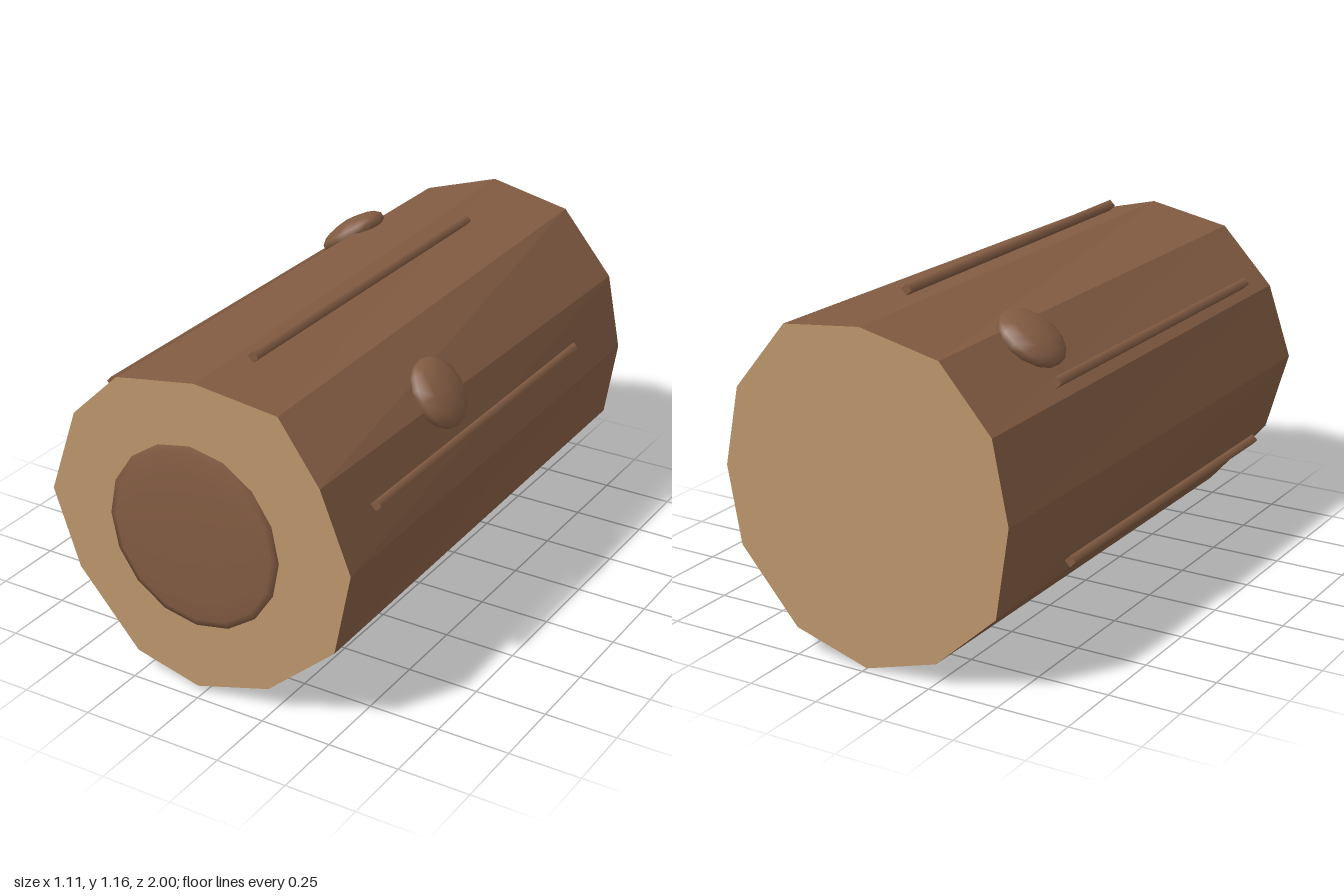
import * as THREE from 'three';

const bark = new THREE.MeshStandardMaterial({ color: 0x825b42 });
bark.name = 'bark brown';
const wood = new THREE.MeshStandardMaterial({ color: 0xba946a });
wood.name = 'cut wood tan';

// Uneven twelve-sided rims, counter-clockwise from +x
const frontRim = [
  [0.55, 0.6, 0.95], [0.465, 0.89, 0.985], [0.29, 1.065, 0.94], [0.02, 1.125, 0.985],
  [-0.28, 1.07, 0.975], [-0.485, 0.88, 0.94], [-0.555, 0.61, 0.98], [-0.48, 0.33, 0.96],
  [-0.26, 0.08, 0.96], [-0.02, 0.025, 0.965], [0.24, 0.09, 0.945], [0.5, 0.32, 0.965],
];
const backRim = [
  [0.52, 0.6, -0.985], [0.47, 0.87, -0.98], [0.29, 1.1, -0.965], [-0.02, 1.145, -1],
  [-0.28, 1.07, -0.965], [-0.48, 0.87, -0.99], [-0.54, 0.6, -0.995], [-0.485, 0.285, -0.98],
  [-0.265, 0.085, -0.98], [0, 0.005, -0.975], [0.25, 0.1, -1], [0.48, 0.33, -0.975],
];

function triangles(points) {
  const g = new THREE.BufferGeometry();
  g.setAttribute('position', new THREE.Float32BufferAttribute(points.flat(), 3));
  g.computeVertexNormals();
  return g;
}

// Faceted side wall between the two rims
function wallGeometry() {
  const p = [];
  frontRim.forEach((a, i) => {
    const j = (i + 1) % frontRim.length;
    const b = frontRim[j], c = backRim[j], d = backRim[i];
    p.push(a, d, c, a, c, b);
  });
  return triangles(p);
}

// Sawn end: a fan that shades as one flat face
function endGeometry(rim, side) {
  const centre = [0, 0.58, side * 0.965];
  const p = [];
  rim.forEach((a, i) => {
    const b = rim[(i + 1) % rim.length];
    p.push(centre, ...(side > 0 ? [a, b] : [b, a]));
  });
  const g = triangles(p);
  const n = g.attributes.normal;
  for (let i = 0; i < n.count; i++) n.setXYZ(i, 0, 0, side);
  return g;
}

export function createModel() {
  const group = new THREE.Group();
  group.name = 'log';
  const add = (geometry, material, name) => {
    const mesh = new THREE.Mesh(geometry, material);
    mesh.name = name;
    group.add(mesh);
    return mesh;
  };

  add(wallGeometry(), bark, 'trunk');
  add(endGeometry(frontRim, 1), wood, 'frontEnd');
  add(endGeometry(backRim, -1), wood, 'backEnd');

  // Shallow rounded disc on the front end
  const disc = new THREE.SphereGeometry(1, 16, 8).rotateX(Math.PI / 2).scale(0.318, 0.318, 0.018);
  add(disc, bark, 'hollow').position.set(-0.005, 0.588, 0.982);

  // Flattened knots lying on the bark: x, y, z, outward angle in degrees
  [[-0.335, 1.035, -0.515, 126], [0.455, 0.905, 0.255, 35.5]].forEach(([x, y, z, deg], i) => {
    const knot = add(new THREE.SphereGeometry(1, 10, 8).scale(0.05, 0.123, 0.125), bark, 'knot' + (i + 1));
    knot.position.set(x, y, z);
    knot.rotation.z = THREE.MathUtils.degToRad(deg);
  });

  // Thin bark ridges running lengthwise
  const ridge = new THREE.CylinderGeometry(0.02, 0.02, 1.35, 4).rotateX(Math.PI / 2);
  [[0.09, 1.145], [-0.46, 0.925], [0.53, 0.755], [-0.515, 0.34], [0.01, 0.026]].forEach(([x, y], i) => {
    add(ridge, bark, 'barkRidge' + (i + 1)).position.set(x, y, 0.095);
  });

  return group;
}
